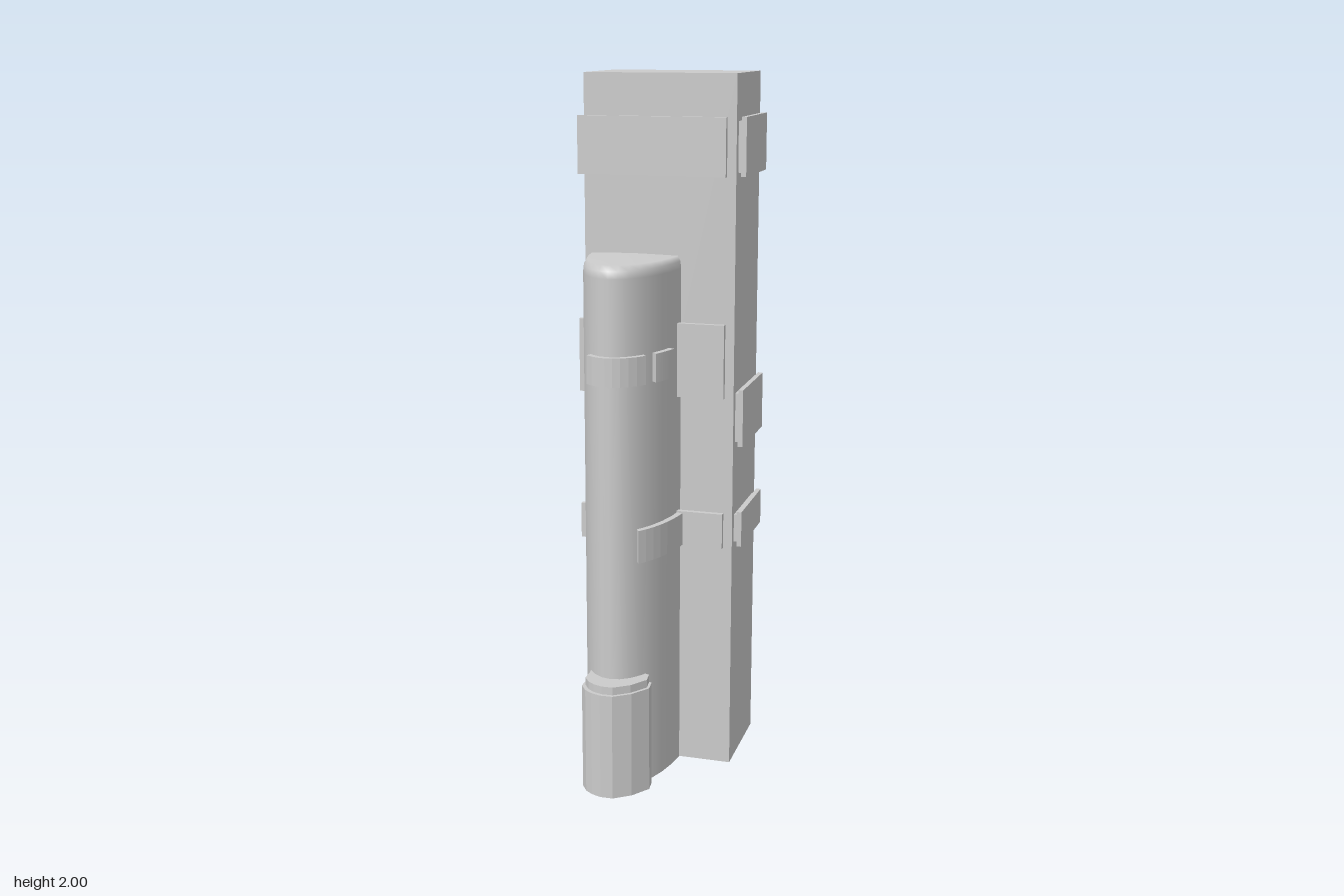
import * as THREE from 'three';

const TILT = 0.172; // the whole plan is turned about 10 degrees

export function createModel() {
  const model = new THREE.Group();
  const material = new THREE.MeshStandardMaterial({ color: 0xcccccc, side: THREE.DoubleSide });

  const add = (parent, name, geometry) => {
    const mesh = new THREE.Mesh(geometry, material);
    mesh.name = name;
    parent.add(mesh);
    return mesh;
  };
  const turnedGroup = (name, x, z) => {
    const group = new THREE.Group();
    group.name = name;
    group.position.set(x, 0, z);
    group.rotation.y = TILT;
    model.add(group);
    return group;
  };
  // Box given by its limits on each axis
  const slab = (parent, name, [x0, x1], [y0, y1], [z0, z1]) => {
    const g = new THREE.BoxGeometry(x1 - x0, y1 - y0, z1 - z0);
    g.translate((x0 + x1) / 2, (y0 + y1) / 2, (z0 + z1) / 2);
    return add(parent, name, g);
  };
  // Upright prism over a plan outline of [x, z] points, optionally open below
  const prism = (parent, name, plan, y0, y1, openBottom = false) => {
    const shape = new THREE.Shape(plan.map(([x, z]) => new THREE.Vector2(x, -z)));
    const g = new THREE.ExtrudeGeometry(shape, { depth: y1 - y0, bevelEnabled: false });
    if (openBottom) {
      const skip = g.groups[0].count / 2;
      for (const key of ['position', 'normal', 'uv']) {
        const a = g.attributes[key];
        g.setAttribute(key, new THREE.BufferAttribute(a.array.slice(skip * a.itemSize), a.itemSize));
      }
      g.clearGroups();
    }
    g.rotateX(-Math.PI / 2);
    g.translate(0, y0, 0);
    return add(parent, name, g);
  };

  // Rectangular tower, open at the base
  const W = 0.217, D = 0.141;
  const tower = turnedGroup('tower', -0.004, -0.13);
  const body = slab(tower, 'towerBody', [-W, W], [0, 2], [-D, D]).geometry;
  const index = Array.from(body.index.array);
  index.splice(18, 6); // leave out the underside
  body.setIndex(index);
  body.clearGroups();

  // Raised panels: a thin plate on a slightly smaller spacer
  const inset = ([a, b]) => [a + 0.01, b - 0.012];
  const frontSpan = [-0.228, 0.194], sideSpan = [-0.12, 0.131];
  for (const y of [[1.725, 1.885], [1.11, 1.32], [0.672, 0.775]]) {
    slab(tower, 'frontPanel', frontSpan, y, [D + 0.012, D + 0.027]);
    slab(tower, 'frontPanelSpacer', inset(frontSpan), inset(y), [D - 0.005, D + 0.013]);
  }
  for (const y of [[1.725, 1.885], [0.968, 1.132], [0.672, 0.775]]) {
    slab(tower, 'sidePanel', [W + 0.011, W + 0.025], y, sideSpan);
    slab(tower, 'sidePanelSpacer', [W - 0.005, W + 0.012], inset(y), inset(sideSpan));
  }
  const backY = [0.968, 1.132];
  slab(tower, 'backPanel', frontSpan, backY, [-D - 0.027, -D - 0.012]);
  slab(tower, 'backPanelSpacer', inset(frontSpan), inset(backY), [-D - 0.013, -D + 0.005]);

  // Oval shaft passing through the tower, with a softened top edge
  const A = 0.137, B = 0.307;
  const oval = turnedGroup('ovalShaft', -0.06, -0.035);
  const profile = [[1, 0], [1, 1.47], [0.985, 1.49], [0.93, 1.505], [0, 1.508]]
    .map(([r, y]) => new THREE.Vector2(r, y));
  add(oval, 'ovalShaftBody', new THREE.LatheGeometry(profile, 32).scale(A, 1, B));

  // Curved bands around the oval; angle 0 is its front tip
  const band = (t0, t1, y0, y1) => {
    const n = 8, outer = [], inner = [];
    for (let i = 0; i <= n; i++) {
      const t = t0 + ((t1 - t0) * i) / n;
      outer.push([(A + 0.018) * Math.sin(t), (B + 0.018) * Math.cos(t)]);
      inner.unshift([(A - 0.005) * Math.sin(t), (B - 0.005) * Math.cos(t)]);
    }
    prism(oval, 'curvedBand', [...outer, ...inner], y0, y1);
  };
  band(-0.43, 0.64, 1.18, 1.26);
  band(0.8, 1.11, 1.18, 1.26);
  band(0.52, 1.47, 0.675, 0.77);

  // Low rounded bay at the front, with a smaller raised top
  const bay = [[-0.1, 0.222], [-0.09, 0.255], [-0.084, 0.294], [-0.06, 0.319], [-0.035, 0.331],
    [-0.005, 0.336], [0.03, 0.329], [0.07, 0.288], [0.097, 0.23], [0.085, 0.19], [-0.05, 0.17]];
  prism(model, 'frontBay', bay, 0, 0.31, true);
  const cap = bay.map(([x, z]) => [x * 0.91, 0.2 + (z - 0.2) * 0.92]);
  prism(model, 'frontBayCap', cap, 0.3, 0.333, true);

  return model;
}
